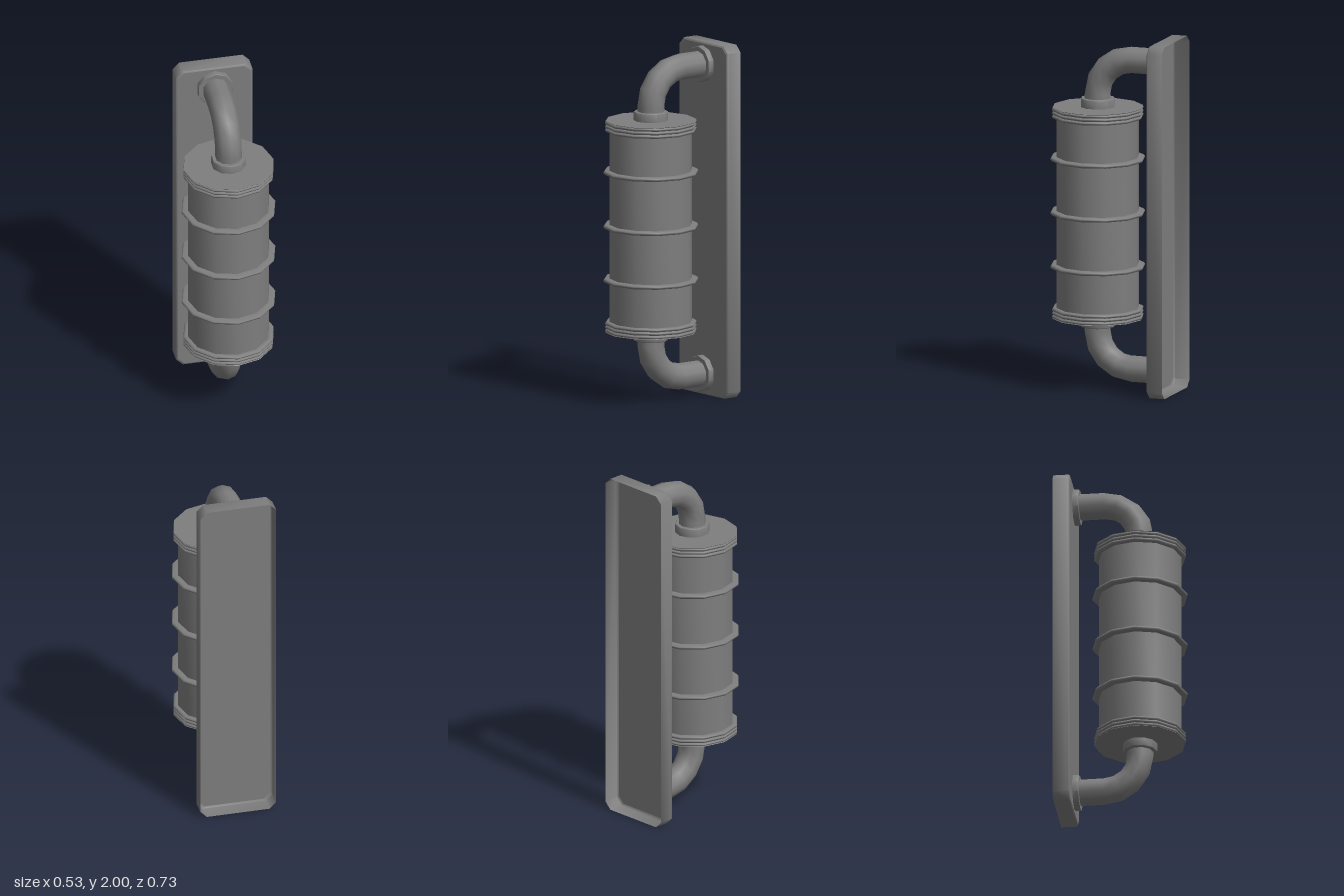
import * as THREE from 'three';
import { toCreasedNormals } from 'three/addons/utils/BufferGeometryUtils.js';

const metal = new THREE.MeshStandardMaterial({ color: 0x7e7e7e });
const metalThin = new THREE.MeshStandardMaterial({ color: 0x7e7e7e, side: THREE.DoubleSide });
const AXIS_Z = 0.1; // z of the vertical axis of the drum
const PIPE_Y = 1.878; // height of the upper wall pipe

function part(name, geometry, parent, material = metal) {
  const mesh = new THREE.Mesh(geometry, material);
  mesh.name = name;
  parent.add(mesh);
  return mesh;
}

function lathe(points, sides) {
  return new THREE.LatheGeometry(points.map(([r, y]) => new THREE.Vector2(r, y)), sides);
}

// Turned part with sharp rims but a smooth run around the axis
function turned(points, sides) {
  return toCreasedNormals(lathe(points, sides), 0.7);
}

// Small rounded band standing proud of the drum
function band(inner, outer, half) {
  return lathe([
    [inner, -half], [outer - 0.007, -half], [outer, -half * 0.3],
    [outer, half * 0.3], [outer - 0.007, half], [inner, half],
  ], 12);
}

// Short collar with a softened free edge
function collarGeometry(radius, height) {
  return turned([[0, 0], [radius, 0], [radius, height - 0.004],
    [radius - 0.003, height], [0, height]], 10);
}

// Chamfered outline of the back plate at one depth
function plateLoop(inset, z) {
  const w = 0.218 - inset, h = 1 - inset, c = 0.038;
  return [[w, c - h], [w, h - c], [w - c, h], [c - w, h],
    [-w, h - c], [-w, c - h], [c - w, -h], [w - c, -h]].map(([x, y]) => [x, y + 1, z]);
}

function fromTriangles(pos) {
  const geometry = new THREE.BufferGeometry();
  geometry.setAttribute('position', new THREE.Float32BufferAttribute(pos, 3));
  geometry.computeVertexNormals();
  return geometry;
}

// Open-backed tray: a smooth rim with a softened front edge, and a flat face
function buildBackPlate() {
  const plate = new THREE.Group();
  const loops = [plateLoop(0, -0.365), plateLoop(0, -0.279),
    plateLoop(0.003, -0.273), plateLoop(0.01, -0.27)];
  const rim = [];
  for (let k = 0; k < 3; k++) {
    for (let i = 0; i < 8; i++) {
      const j = (i + 1) % 8;
      const [a, b, c, d] = [loops[k][i], loops[k][j], loops[k + 1][j], loops[k + 1][i]];
      rim.push(...a, ...b, ...c, ...a, ...c, ...d);
    }
  }
  part('plateRim', toCreasedNormals(fromTriangles(rim), 0.9), plate, metalThin);

  const outline = loops[3], face = [];
  for (let i = 1; i < 7; i++) face.push(...outline[0], ...outline[i], ...outline[i + 1]);
  part('plateFace', fromTriangles(face), plate, metalThin);
  return plate;
}

// Upper pipe: collar on the drum, riser, elbow, wall run and wall collar
function buildPipe() {
  const pipe = new THREE.Group();
  const bend = 0.2, r = 0.075, startY = PIPE_Y - bend, bendZ = AXIS_Z - bend;

  part('drumCollar', collarGeometry(0.097, 0.05), pipe).position.set(0, 1.6, AXIS_Z);

  const riser = new THREE.CylinderGeometry(r, r, startY - 1.61, 10, 1, true);
  part('riser', riser, pipe).position.set(0, (startY + 1.61) / 2, AXIS_Z);

  const elbow = new THREE.TorusGeometry(bend, r, 10, 4, Math.PI / 2);
  elbow.rotateY(-Math.PI / 2);
  part('elbow', elbow, pipe).position.set(0, startY, bendZ);

  const length = bendZ + 0.26;
  const run = new THREE.CylinderGeometry(r, r, length, 10, 1, true);
  run.rotateX(-Math.PI / 2);
  part('wallRun', run, pipe).position.set(0, PIPE_Y, bendZ - length / 2);

  const wallCollar = collarGeometry(0.103, 0.034);
  wallCollar.rotateX(Math.PI / 2);
  part('wallCollar', wallCollar, pipe).position.set(0, PIPE_Y, -0.269);
  return pipe;
}

export function createModel() {
  const model = new THREE.Group();
  model.name = 'wallLamp';

  const backPlate = buildBackPlate();
  backPlate.name = 'backPlate';
  model.add(backPlate);

  // Drum with its end caps
  const drum = turned([[0, 0.4], [0.256, 0.4], [0.25, 0.406], [0.25, 0.46], [0.232, 0.46],
    [0.232, 1.54], [0.25, 1.54], [0.25, 1.594], [0.256, 1.6], [0, 1.6]], 12);
  part('drum', drum, model).position.z = AXIS_Z;

  // Three single hoops
  for (const y of [0.695, 1.0, 1.307]) {
    part('hoop', band(0.225, 0.267, 0.011), model).position.set(0, y, AXIS_Z);
  }

  // Three stacked rims at each end
  for (const end of [-1, 1]) {
    for (let i = 0; i < 3; i++) {
      const y = 1 + end * (0.589 - i * 0.02);
      part('endRim', band(0.24, 0.258, 0.01), model).position.set(0, y, AXIS_Z);
    }
  }

  // Upper pipe, and the same pipe turned over for the lower end
  const upper = buildPipe();
  upper.name = 'upperPipe';
  const lower = buildPipe();
  lower.name = 'lowerPipe';
  lower.rotation.z = Math.PI;
  lower.position.y = 2;
  model.add(upper, lower);

  return model;
}
